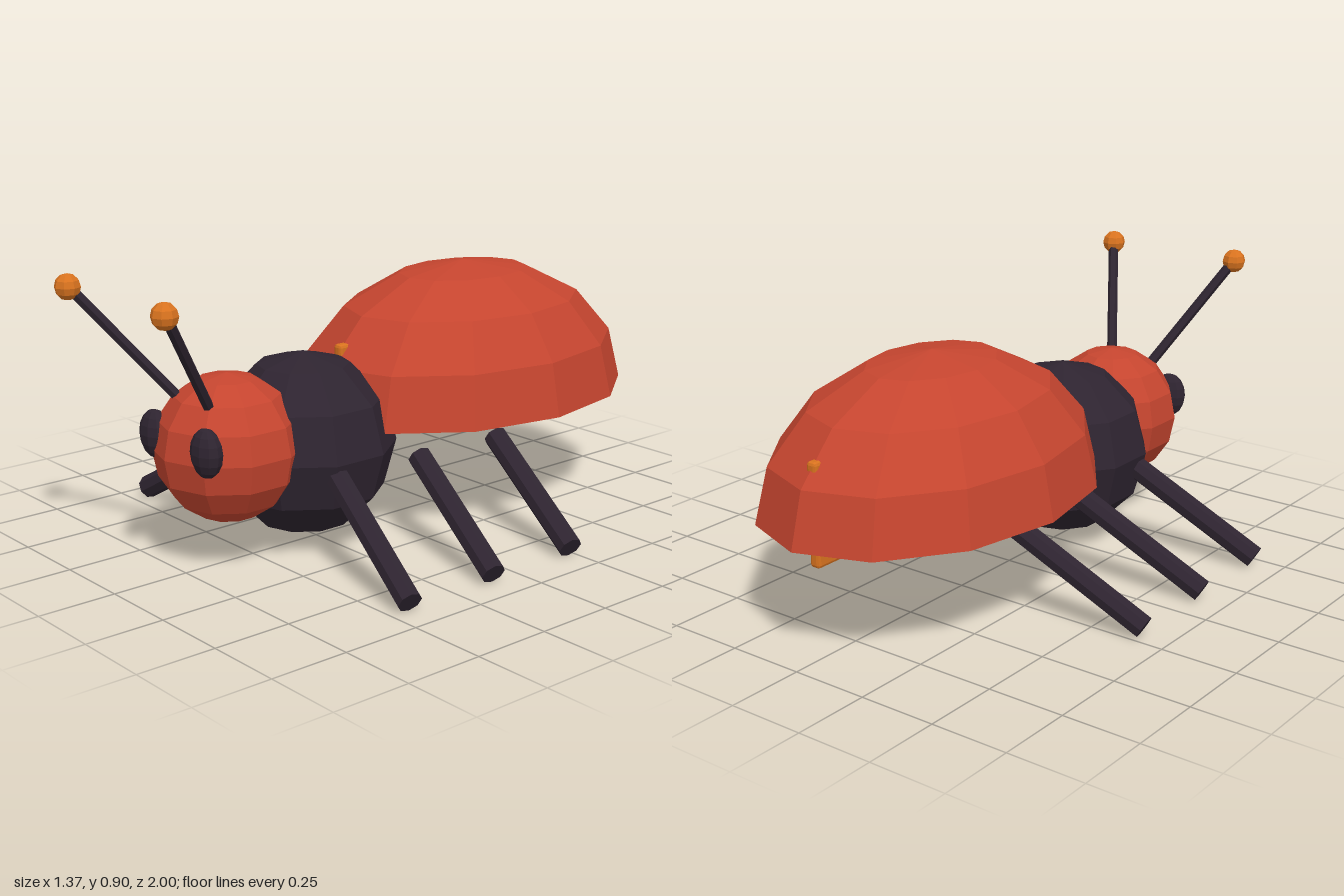
import * as THREE from 'three';
import { RoundedBoxGeometry } from 'three/addons/geometries/RoundedBoxGeometry.js';

export function createModel() {
  const model = new THREE.Group();
  model.name = 'beetle';

  const material = (name, color) => {
    const m = new THREE.MeshStandardMaterial({ color, flatShading: true });
    m.name = name;
    return m;
  };
  const red = material('shellRed', 0xc5452f);
  const dark = material('bodyDark', 0x2e2430);
  const orange = material('accentOrange', 0xd9731f);

  const add = (name, geometry, mat, x = 0, y = 0, z = 0) => {
    const mesh = new THREE.Mesh(geometry, mat);
    mesh.name = name;
    mesh.position.set(x, y, z);
    model.add(mesh);
    return mesh;
  };

  // Straight rod between two points
  const rod = (name, from, to, radius, sides, mat) => {
    const a = new THREE.Vector3(...from);
    const b = new THREE.Vector3(...to);
    const dir = b.clone().sub(a);
    const mesh = add(name, new THREE.CylinderGeometry(radius, radius, dir.length(), sides), mat);
    mesh.position.copy(a).add(b).multiplyScalar(0.5);
    mesh.quaternion.setFromUnitVectors(new THREE.Vector3(0, 1, 0), dir.normalize());
    return mesh;
  };

  // Domed wing case with a flat underside
  const dome = new THREE.SphereGeometry(1, 12, 4, 0, Math.PI * 2, 0, Math.PI / 2);
  add('wingCase', dome, red, 0, 0.37, -0.38).scale.set(0.45, 0.445, 0.62);
  const base = new THREE.CircleGeometry(1, 12).rotateX(Math.PI / 2);
  add('wingCaseUnderside', base, red, 0, 0.37, -0.38).scale.set(0.45, 1, 0.62);

  // Thin keel running through the middle of the wing case
  add('keel', new RoundedBoxGeometry(0.036, 0.32, 1.07, 1, 0.01), orange, 0, 0.45, -0.376);

  // Thorax and head
  add('thorax', new THREE.SphereGeometry(0.29, 10, 6).rotateY(Math.PI / 2), dark, 0, 0.325, 0.295);
  add('head', new THREE.SphereGeometry(0.229, 10, 8).rotateY(Math.PI / 2), red, 0, 0.367, 0.584);

  for (const side of [1, -1]) {
    const prefix = side > 0 ? 'left' : 'right';

    // Eye
    const eye = add(prefix + 'Eye', new THREE.SphereGeometry(1, 10, 8), dark, side * 0.132, 0.41, 0.755);
    eye.scale.set(0.06, 0.075, 0.042);

    // Antenna with a ball tip
    rod(prefix + 'Antenna', [side * 0.08, 0.525, 0.705], [side * 0.25, 0.866, 0.957], 0.017, 6, dark);
    add(prefix + 'AntennaTip', new THREE.SphereGeometry(0.04, 8, 6), orange, side * 0.25, 0.866, 0.96);

    // Three splayed legs
    ['Front', 'Middle', 'Rear'].forEach((place, i) => {
      const z = 0.445 - i * 0.33;
      rod(prefix + place + 'Leg', [side * 0.25, 0.28, z - 0.08], [side * 0.665, 0.034, z], 0.038, 8, dark);
    });
  }

  return model;
}
